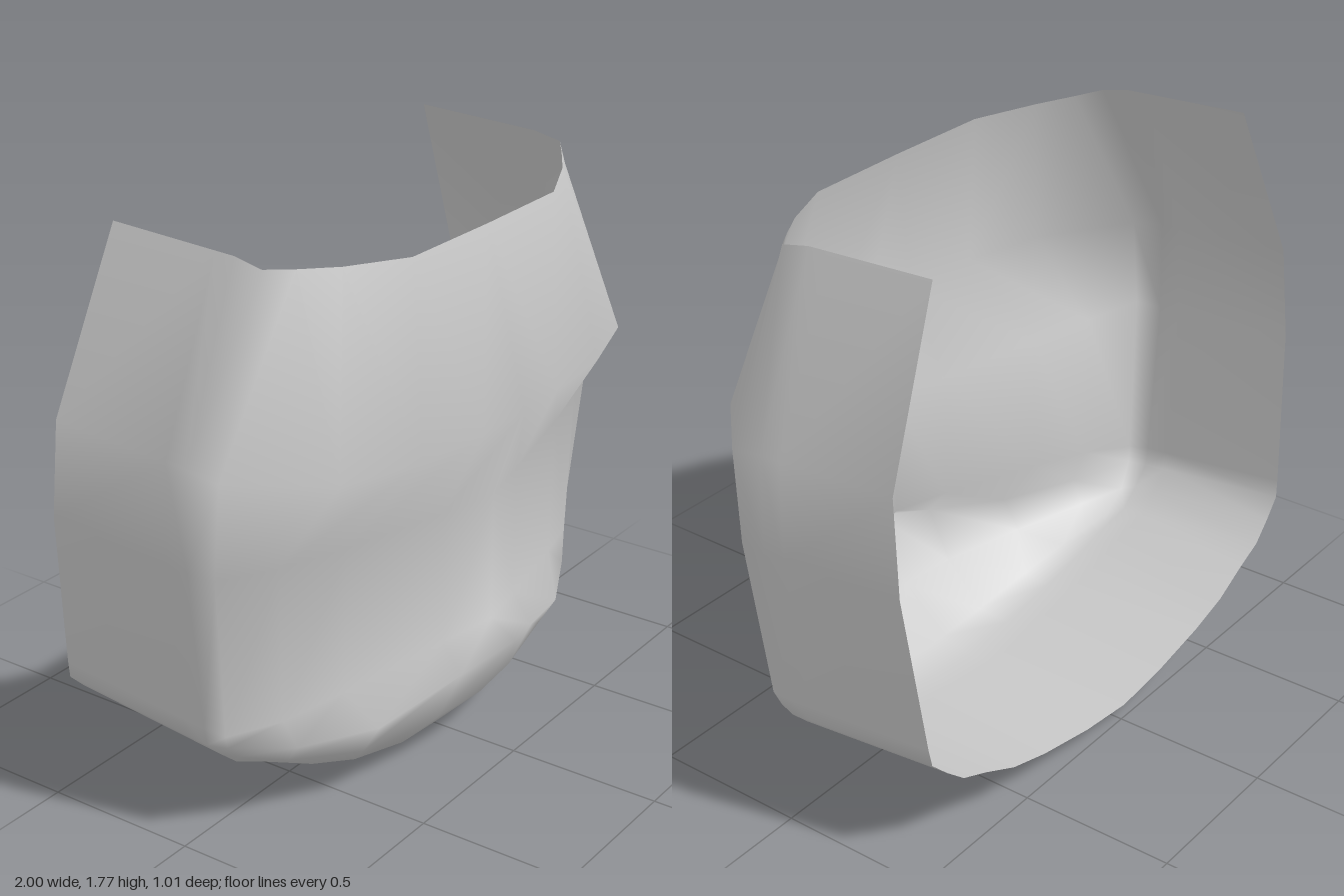
import * as THREE from 'three';
import { mergeGeometries, mergeVertices } from 'three/addons/utils/BufferGeometryUtils.js';

// Half rows of the front panel, from the centre line out to the side wall: [x, y, z]
const halfRows = [
  // top rim
  [[0, 1.7, 0.365], [0.37, 1.7, 0.36], [0.57, 1.71, 0.27], [0.68, 1.72, 0.2], [0.76, 1.73, 0.145], [0.76, 1.75, 0.05]],
  // brow ridge
  [[0, 1.15, 0.505], [0.2, 1.15, 0.495], [0.48, 1.15, 0.47], [0.75, 1.16, 0.39], [0.985, 1.19, 0.16], [0.99, 1.21, 0.05]],
  // waist
  [[0, 0.86, 0.405], [0.2, 0.86, 0.36], [0.57, 0.87, 0.275], [0.8, 0.88, 0.21], [0.99, 0.9, 0.14], [1, 0.9, 0.05]],
  // above the chin
  [[0, 0.44, 0.405], [0.2, 0.43, 0.36], [0.57, 0.4, 0.265], [0.78, 0.38, 0.2], [0.93, 0.37, 0.11], [0.94, 0.38, 0.04]],
  // chin peak
  [[0, 0.39, 0.495], [0.2, 0.34, 0.43], [0.5, 0.27, 0.34], [0.74, 0.28, 0.22], [0.91, 0.32, 0.1], [0.93, 0.32, 0.04]],
  // under the chin
  [[0, 0.17, 0.37], [0.2, 0.17, 0.35], [0.5, 0.17, 0.28], [0.72, 0.21, 0.17], [0.84, 0.25, 0.08], [0.87, 0.26, 0.04]],
  // jaw edge
  [[0, 0.02, 0.22], [0.2, 0.03, 0.215], [0.42, 0.07, 0.19], [0.58, 0.12, 0.15], [0.75, 0.19, 0.08], [0.8, 0.2, 0.04]],
  // front of the floor
  [[0, 0, 0.1], [0.2, 0.02, 0.1], [0.42, 0.06, 0.09], [0.57, 0.1, 0.08], [0.7, 0.16, 0.06], [0.8, 0.2, 0.04]],
];

const mirrorRow = (half) => [
  ...half.slice(1).reverse().map(([x, y, z]) => [-x, y, z]),
  ...half,
];

// Surface through rows of points
function gridGeometry(rows) {
  const n = rows[0].length;
  const index = [];
  for (let r = 0; r < rows.length - 1; r++) {
    for (let c = 0; c < n - 1; c++) {
      const a = r * n + c, b = a + n;
      // flip the diagonal on one half so both sides match
      if (c < (n - 1) / 2) index.push(a, b, a + 1, b, b + 1, a + 1);
      else index.push(a, b, b + 1, a, b + 1, a + 1);
    }
  }
  const geo = new THREE.BufferGeometry();
  geo.setAttribute('position', new THREE.Float32BufferAttribute(rows.flat(2), 3));
  geo.setIndex(index);
  return geo;
}

export function createModel() {
  const rows = halfRows.map(mirrorRow);
  const last = rows.length - 1;

  // Edge of the panel: down one side, along the floor, up the other side
  const edge = [
    ...rows.slice(0, last).map((row) => row[0]),
    ...rows[last].slice(1, -1),
    ...rows.slice(0, last).map((row) => row[row.length - 1]).reverse(),
  ];

  // Wall running straight back from that edge to the open rear rim
  const wall = edge.map(([x, y, z]) => {
    const back = [x, y + 0.06 - 0.023 * y, -0.51 + 0.077 * y];
    const at = (t) => back.map((v, i) => v + ([x, y, z][i] - v) * t);
    return [back, at(0.85), [x, y, z]];
  });

  // Panel and wall are welded into one smooth shell
  const shellGeo = mergeVertices(mergeGeometries([gridGeometry(rows), gridGeometry(wall)]), 1e-4);
  shellGeo.computeVertexNormals();

  const shell = new THREE.Mesh(
    shellGeo,
    new THREE.MeshStandardMaterial({ color: 0xcccccc, side: THREE.DoubleSide }),
  );
  shell.name = 'faceShell';

  const model = new THREE.Group();
  model.name = 'faceGuard';
  model.add(shell);
  return model;
}
